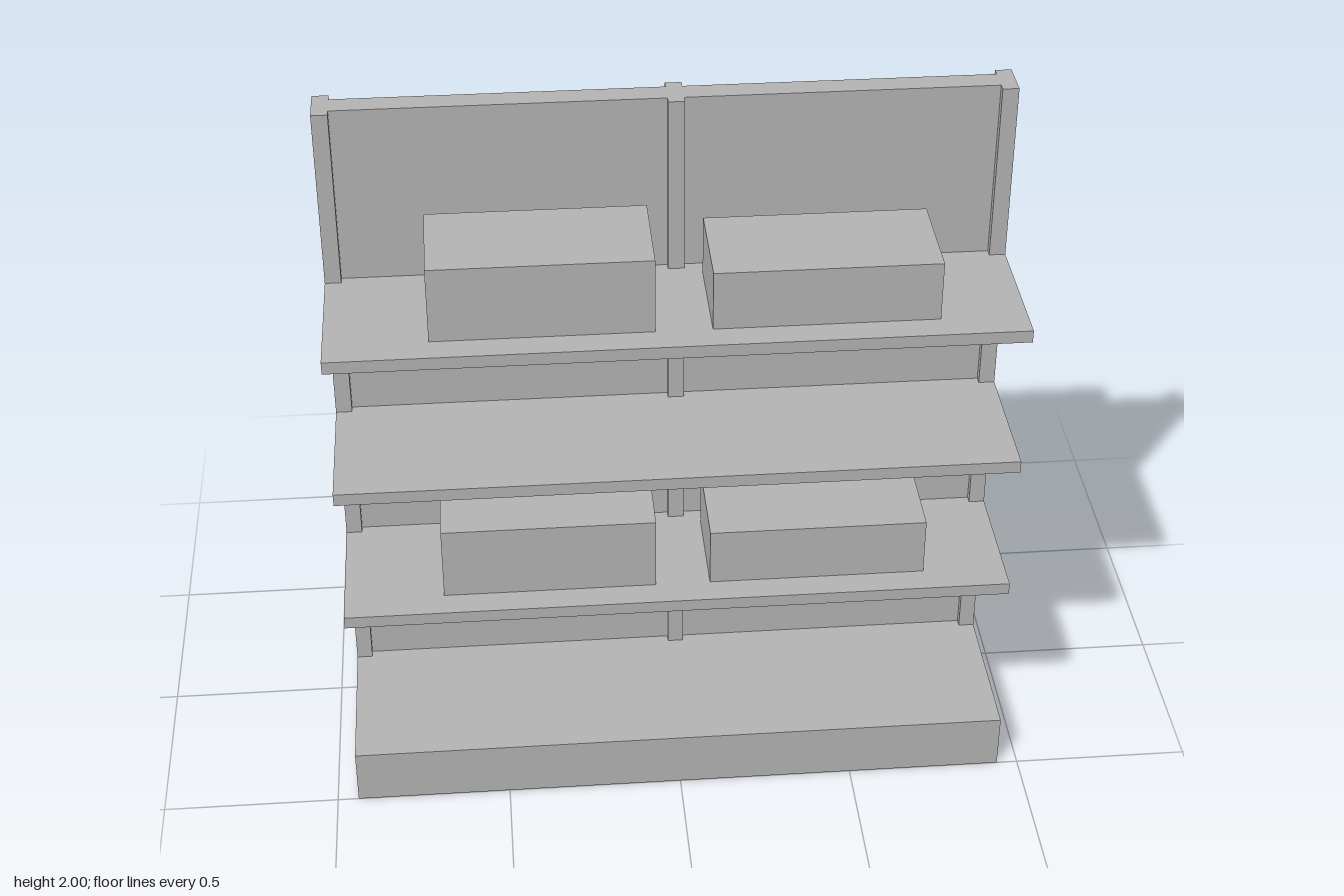
import * as THREE from 'three';

export function createModel() {
  const model = new THREE.Group();
  model.name = 'shelvingUnit';
  const grey = new THREE.MeshStandardMaterial({ color: 0xb4b4b4 });
  grey.name = 'light grey';

  // Box given by its extents along each axis
  const block = (name, [x0, x1], [y0, y1], [z0, z1]) => {
    const mesh = new THREE.Mesh(new THREE.BoxGeometry(x1 - x0, y1 - y0, z1 - z0), grey);
    mesh.position.set((x0 + x1) / 2, (y0 + y1) / 2, (z0 + z1) / 2);
    mesh.name = name;
    model.add(mesh);
  };

  const W = 0.94, baseTop = 0.165, shelfThickness = 0.036;
  const panelZ = 0.033, postZ = 0.056;

  // Plinth and central dividing panel
  block('base', [-W, W], [0, baseTop], [-0.5, 0.5]);
  block('backPanel', [-0.895, 0.895], [baseTop, 2], [-panelZ, panelZ]);

  // Uprights
  for (const x of [-W, 0, 0.895]) {
    block('post', [x, x + 0.045], [baseTop, 2], [-postZ, postZ]);
  }

  // Shelves on both sides
  const shelfTops = [0.635, 1.06, 1.486];
  for (const top of shelfTops) {
    block('frontShelf', [-W, W], [top - shelfThickness, top], [panelZ, 0.453]);
    block('backShelf', [-W, W], [top - shelfThickness, top], [-0.453, -panelZ]);
  }

  // Boxes on the lowest and highest front shelves
  for (const y of [shelfTops[0], shelfTops[2]]) {
    block('tallBox', [-0.66, -0.06], [y, y + 0.219], [0.082, 0.374]);
    block('lowBox', [0.093, 0.705], [y, y + 0.172], [0.082, 0.374]);
  }
  return model;
}
